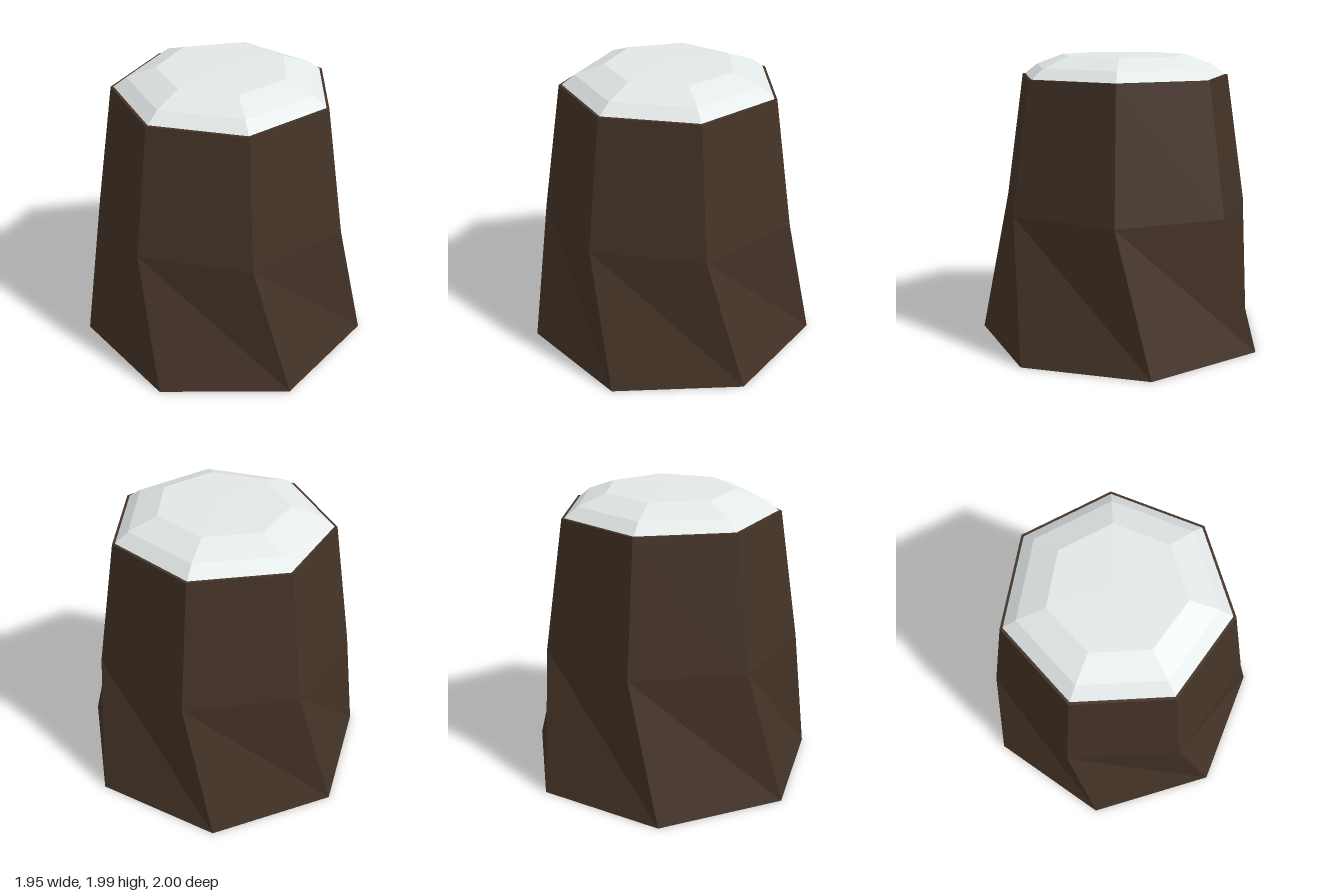
import * as THREE from 'three';

const SIDES = 7;
const CENTRE_X = -0.05;

// Regular seven-sided ring, starting at the back and running towards +x
function ring(radius, y) {
  return Array.from({ length: SIDES }, (_, i) => {
    const a = (i / SIDES) * Math.PI * 2;
    return [CENTRE_X + radius * Math.sin(a), y, -radius * Math.cos(a)];
  });
}

// Joins rings from bottom to top, then closes the ends with fans
function loft(rings, topCentre, bottomCentre) {
  const pos = [];
  const tri = (a, b, c) => pos.push(...a, ...b, ...c);
  const last = rings[rings.length - 1];
  for (let i = 0; i < SIDES; i++) {
    const j = (i + 1) % SIDES;
    for (let k = 0; k < rings.length - 1; k++) {
      const low = rings[k], high = rings[k + 1];
      tri(low[i], high[i], high[j]);
      tri(low[i], high[j], low[j]);
    }
    tri(topCentre, last[j], last[i]);
    tri(bottomCentre, rings[0][i], rings[0][j]);
  }
  const geometry = new THREE.BufferGeometry();
  geometry.setAttribute('position', new THREE.Float32BufferAttribute(pos, 3));
  geometry.computeVertexNormals();
  return geometry;
}

export function createModel() {
  const group = new THREE.Group();
  group.name = 'snowyStump';

  const bark = new THREE.MeshStandardMaterial({ color: 0x443327, flatShading: true });
  bark.name = 'dark brown bark';
  const snow = new THREE.MeshStandardMaterial({ color: 0xe4e9e9, flatShading: true });
  snow.name = 'snow white';

  // Stump: irregular flared foot, regular waist and top
  const foot = [
    [-0.29, -1.0], [0.58, -0.81], [0.97, -0.02], [0.6, 0.79],
    [-0.26, 1.0], [-0.97, 0.45], [-0.98, -0.44],
  ].map(([x, z]) => [x, 0, z]);
  const stump = new THREE.Mesh(
    loft([foot, ring(0.885, 0.95), ring(0.749, 1.84)], [CENTRE_X, 1.84, 0], [0, 0, 0]),
    bark,
  );
  stump.name = 'stump';

  // Snow cap: two bevels and a nearly flat crown
  const cap = new THREE.Mesh(
    loft([ring(0.73, 1.842), ring(0.64, 1.91), ring(0.445, 1.983)],
      [CENTRE_X, 1.988, 0], [CENTRE_X, 1.842, 0]),
    snow,
  );
  cap.name = 'snowCap';

  group.add(stump, cap);
  return group;
}
